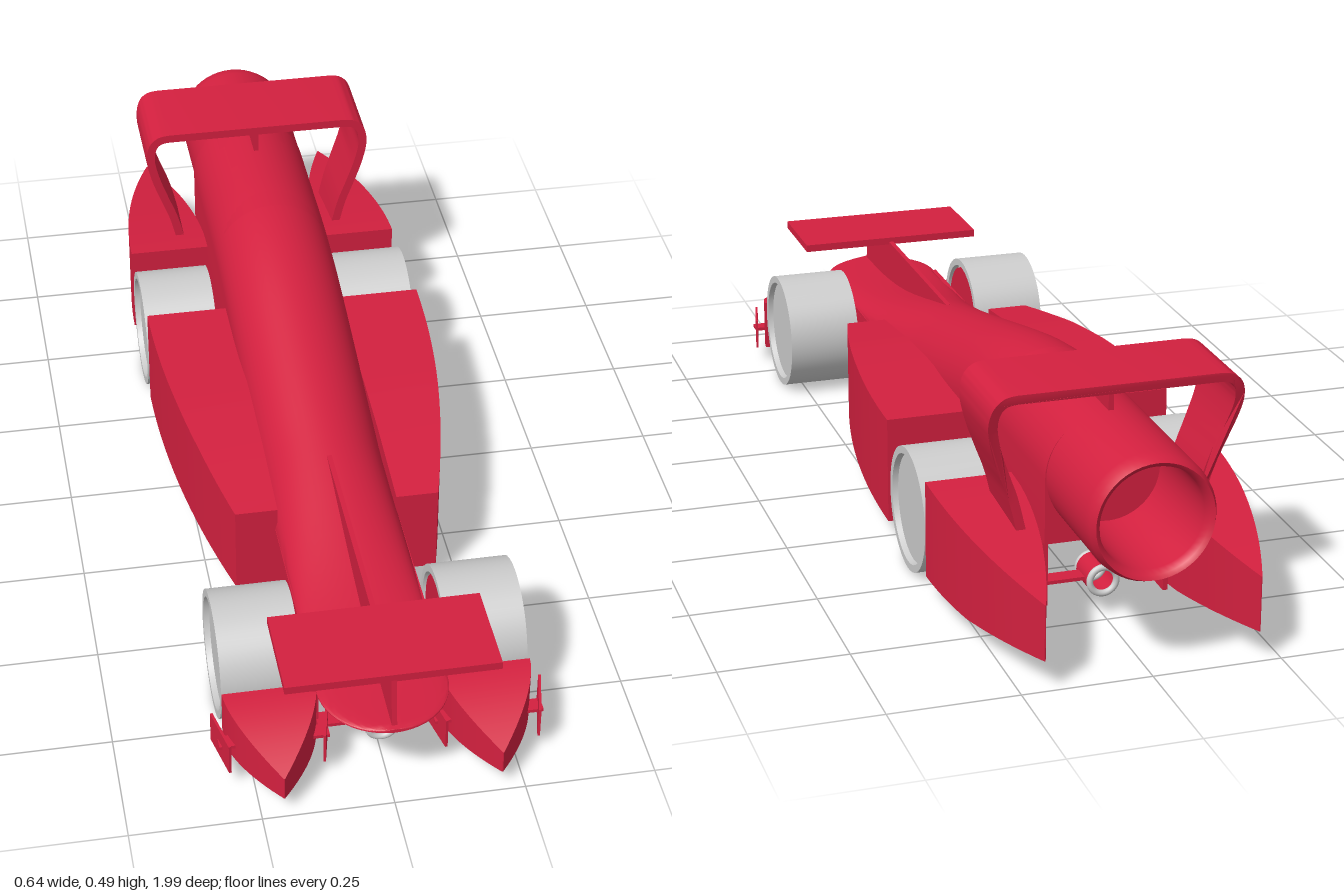
import * as THREE from 'three';
import { toCreasedNormals } from 'three/addons/utils/BufferGeometryUtils.js';

const red = new THREE.MeshStandardMaterial({ color: 0xd3203f });
const grey = new THREE.MeshStandardMaterial({ color: 0xcccccc });
const V2 = (x, y) => new THREE.Vector2(x, y);

// Linear lookup in a short list of [z, value] pairs, z descending
function lookup(table, z) {
  for (let i = 0; i < table.length - 1; i++) {
    const [z0, a] = table[i], [z1, b] = table[i + 1];
    if (z >= z1) return a + (b - a) * Math.max(0, (z0 - z) / (z0 - z1));
  }
  return table[table.length - 1][1];
}

// Skin closed rings (counter-clockwise seen from +z, ordered front to back), with end caps
function loft(rings, crease = 0.6) {
  const n = rings[0].length, index = [];
  for (let r = 0; r < rings.length - 1; r++) {
    for (let i = 0; i < n; i++) {
      const j = (i + 1) % n, a = r * n, b = a + n;
      index.push(a + i, b + i, a + j, a + j, b + i, b + j);
    }
  }
  const last = (rings.length - 1) * n;
  for (let i = 1; i < n - 1; i++) index.push(0, i, i + 1, last, last + i + 1, last + i);
  const g = new THREE.BufferGeometry();
  g.setAttribute('position', new THREE.Float32BufferAttribute(rings.flat(2), 3));
  g.setIndex(index);
  return toCreasedNormals(g, crease);
}

// Rectangular ring between two x and two y limits
function rectRing(xa, xb, y0, y1, z) {
  const l = Math.min(xa, xb), r = Math.max(xa, xb);
  return [[l, y0, z], [r, y0, z], [r, y1, z], [l, y1, z]];
}

const steps = (n, fn) => Array.from({ length: n + 1 }, (_, i) => fn(i / n));

export function createModel() {
  const model = new THREE.Group();
  model.name = 'racer';
  function add(name, geometry, material = red, x = 0, y = 0, z = 0) {
    const m = new THREE.Mesh(geometry, material);
    m.name = name;
    m.position.set(x, y, z);
    model.add(m);
    return m;
  }
  const box = (name, w, h, d, x, y, z) => add(name, new THREE.BoxGeometry(w, h, d), red, x, y, z);

  // Hull: flat rounded nose swelling into a domed rear
  const topLine = new THREE.SplineCurve([[0.99, 0.178], [0.8, 0.185], [0.6, 0.212], [0.3, 0.28], [0, 0.348],
    [-0.2, 0.393], [-0.33, 0.415], [-0.45, 0.425], [-0.6, 0.425], [-0.78, 0.425]].map(p => V2(...p)));
  const heights = topLine.getPoints(60).map(p => [p.x, p.y]);
  const hullRing = z => {
    const w = z > 0.86 ? 0.125 * Math.sqrt(Math.max(0.0005, 1 - ((z - 0.86) / 0.13) ** 2)) : 0.125;
    const h = lookup(heights, z), spring = Math.max(0.172, h - 0.125);
    const ring = [[-w, 0.17, z], [w, 0.17, z]];
    for (let i = 0; i <= 24; i++) {
      const a = Math.PI * i / 24;
      ring.push([w * Math.cos(a), spring + (h - spring) * Math.sin(a), z]);
    }
    return ring;
  };
  const noseZ = steps(12, t => 0.86 + 0.13 * Math.cos(t * Math.PI / 2));
  add('hull', loft([...noseZ, ...steps(40, t => 0.84 - 1.59 * t)].map(hullRing)));

  // Hollow exhaust nozzle
  const nozzle = new THREE.LatheGeometry([[0.122, 0], [0.123, 0.565], [0.12, 0.585], [0.113, 0.6], [0.105, 0.595],
    [0.101, 0.575], [0.1, 0.3], [0, 0.3]].map(p => V2(...p)), 48);
  nozzle.rotateX(-Math.PI / 2);
  add('nozzle', toCreasedNormals(nozzle, 0.9), red, 0, 0.303, -0.4);

  // Wheel profile with a recessed face on both sides
  const wheelGeo = new THREE.LatheGeometry([[0, -0.066], [0.108, -0.066], [0.11, -0.0775], [0.125, -0.0775],
    [0.125, 0.0775], [0.11, 0.0775], [0.108, 0.066], [0, 0.066]].map(p => V2(...p)), 48);
  wheelGeo.rotateZ(-Math.PI / 2);
  const wheel = toCreasedNormals(wheelGeo, 0.5);
  const disc = (r, w) => new THREE.CylinderGeometry(r, r, w, 32).rotateZ(Math.PI / 2);

  for (const s of [1, -1]) {
    const side = s > 0 ? 'left' : 'right';

    // Skirt walls beside the open tunnel under the hull
    box(side + 'Skirt', 0.01, 0.14, 1.57, s * 0.12, 0.11, 0.045);

    // Side pod
    const podTop = [[0.39, 0.228], [0.2, 0.25], [0.05, 0.258], [-0.27, 0.258]];
    add(side + 'Pod', loft(steps(20, t => {
      const z = 0.39 - 0.66 * t;
      return rectRing(s * 0.12, s * (0.295 - 0.09 * (1 - t) ** 2), 0.04, lookup(podTop, z), z);
    })));

    // Pointed fairing behind the rear wheel
    add(side + 'RearFairing', loft(steps(20, t => {
      const z = -0.545 - 0.455 * t, w = 0.085 * (1 - t * t) + 0.001, c = 0.21 - 0.004 * t;
      return rectRing(s * (c - w), s * (c + w), z < -0.75 ? 0.04 - (z + 0.75) * 0.08 : 0.04, 0.235 - 0.065 * t ** 1.3, z);
    })));

    // Bow-shaped guard ahead of the front wheel
    add(side + 'FrontGuard', loft(steps(14, u => {
      const t = 1 - u, k = t ** 1.7, w = 0.0885 * (1 - k) + 0.001, c = 0.2065;
      return rectRing(s * (c - w), s * (c + w), 0.036, 0.146 - 0.06 * k, 0.81 + 0.18 * t);
    })));

    // Small canted vanes either side of the guard, each on a short stay
    for (const o of [1, -1]) {
      const vane = box(side + 'GuardVane', 0.005, 0.066, 0.098, s * 0.206 + o * 0.1, 0.07, 0.86);
      vane.rotation.y = -o * 0.22;
      box(side + 'VaneStay', 0.05, 0.007, 0.03, s * 0.206 + o * 0.08, 0.07, 0.86);
    }

    // Wheels, red inner hubs and axle stubs
    for (const [end, z] of [['Front', 0.672], ['Rear', -0.413]]) {
      add(side + end + 'Wheel', wheel, grey, s * 0.2175, 0.125, z);
      add(side + end + 'Hub', disc(0.104, 0.01), red, s * 0.15, 0.125, z);
      add(side + end + 'Axle', disc(0.02, 0.03), red, s * 0.135, 0.125, z);
    }
  }

  // Front wing with a thin fin running back into the hull
  box('frontWing', 0.404, 0.016, 0.195, 0, 0.282, 0.868);
  const fin = new THREE.Shape([V2(0.98, 0.174), V2(0.965, 0.28), V2(0.3, 0.28), V2(0.4, 0.2)]);
  const finGeo = new THREE.ExtrudeGeometry(fin, { depth: 0.01, bevelEnabled: false });
  finGeo.rotateY(-Math.PI / 2);
  add('noseFin', finGeo, red, 0.005, 0, 0);

  // Guide eyes under the hull, front and rear, hung on flared struts
  for (const [end, z, d] of [['front', 0.83, 1], ['rear', -0.69, -1]]) {
    const tube = new THREE.CylinderGeometry(0.031, 0.031, 0.07, 32, 1, true).rotateX(Math.PI / 2);
    const sleeve = add(end + 'EyeSleeve', tube, red, 0, 0.07, z);
    sleeve.material = red.clone();
    sleeve.material.side = THREE.DoubleSide;
    for (const e of [d, -d]) {
      add(end + 'EyeRing', new THREE.TorusGeometry(0.0265, 0.0065, 12, 32), grey, 0, 0.07, z + e * 0.035);
    }
    const strut = new THREE.Shape([V2(-0.025, 0.098), V2(0.025, 0.098), V2(0.05, 0.18), V2(-0.05, 0.18)]);
    const strutGeo = new THREE.ExtrudeGeometry(strut, { depth: 0.008, bevelEnabled: false });
    strutGeo.rotateY(-Math.PI / 2);
    add(end + 'EyeStrut', strutGeo, red, 0.004, 0, z);
    for (const s of [1, -1]) box(end + 'EyeStay', 0.09, 0.007, 0.035, s * 0.074, 0.07, z);
  }

  // Rear wing: one bent ribbon arching between the rear fairings
  const half = [[0.172, 0.2], [0.19, 0.275], [0.21, 0.33], [0.228, 0.382], [0.238, 0.43], [0.233, 0.464], [0.217, 0.481], [0.195, 0.485]];
  const halfPts = new THREE.SplineCurve(half.map(p => V2(...p))).getPoints(36);
  const centre = [...halfPts, ...halfPts.map(p => V2(-p.x, p.y)).reverse()];
  const offset = d => centre.map((p, i) => {
    const a = centre[Math.max(0, i - 1)], b = centre[Math.min(centre.length - 1, i + 1)];
    const t = b.clone().sub(a).normalize();
    return V2(p.x + t.y * d, p.y - t.x * d);
  });
  const ribbon = new THREE.ExtrudeGeometry(new THREE.Shape([...offset(0.009), ...offset(-0.009).reverse()]),
    { depth: 0.195, bevelEnabled: false });
  const pos = ribbon.attributes.position;
  for (let i = 0; i < pos.count; i++) {
    const drop = Math.min(1, Math.max(0, (0.48 - pos.getY(i)) / 0.15));
    pos.setZ(i, -0.61 - (pos.getZ(i) > 0.1 ? 0 : 0.195 - 0.045 * drop));
  }
  add('rearWing', toCreasedNormals(ribbon, 0.6));
  box('rearWingStrut', 0.01, 0.07, 0.13, 0, 0.45, -0.69);

  return model;
}
